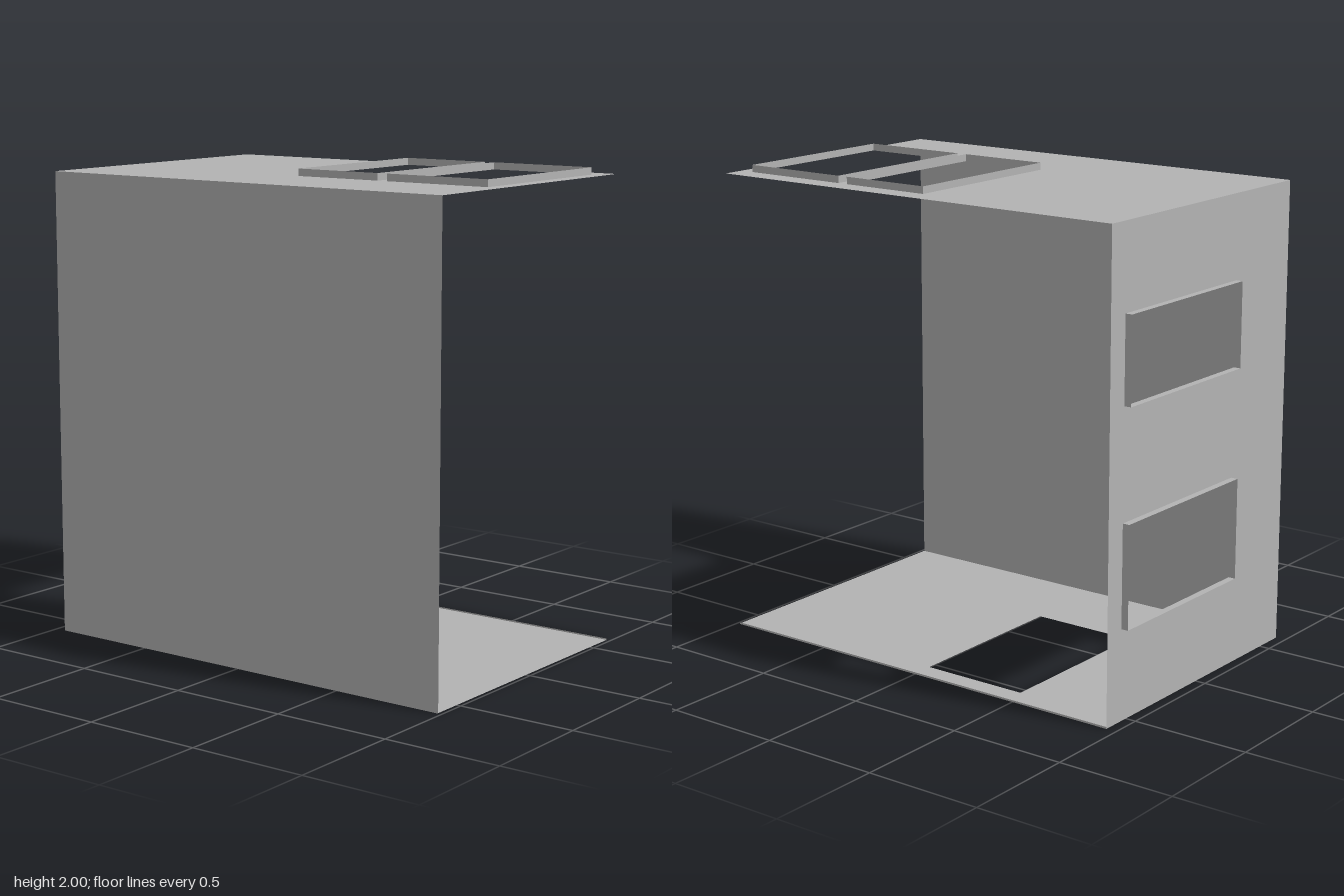
import * as THREE from 'three';

const sheetMetal = new THREE.MeshStandardMaterial({ color: 0xb3b3b3, side: THREE.DoubleSide });
sheetMetal.name = 'sheetMetal';

const LEFT = 0.985, RIGHT = -0.955, DEPTH = 0.632, HEIGHT = 1.97, FLOOR = 0.002;
const FLANGE = 0.03;

// Rectangles are [u0, v0, u1, v1] in the plane of a panel
const corners = ([u0, v0, u1, v1]) =>
  [[u0, v0], [u1, v0], [u1, v1], [u0, v1]].map(([u, v]) => new THREE.Vector2(u, v));

function add(group, name, geometry) {
  const mesh = new THREE.Mesh(geometry, sheetMetal);
  mesh.name = name;
  group.add(mesh);
  return mesh;
}

// Thin sheet with rectangular openings, each edged by an outward flange if wanted
function panel(name, outline, openings = [], flanged = false) {
  const group = new THREE.Group();
  group.name = name;
  const shape = new THREE.Shape(corners(outline));
  for (const opening of openings) shape.holes.push(new THREE.Path(corners(opening).reverse()));
  add(group, name + 'Sheet', new THREE.ShapeGeometry(shape));
  if (!flanged) return group;
  for (const opening of openings) {
    const pts = corners(opening);
    pts.forEach((a, i) => {
      const b = pts[(i + 1) % 4];
      const strip = new THREE.PlaneGeometry(a.distanceTo(b), FLANGE);
      strip.rotateX(Math.PI / 2);
      strip.rotateZ(Math.atan2(b.y - a.y, b.x - a.x));
      strip.translate((a.x + b.x) / 2, (a.y + b.y) / 2, FLANGE / 2);
      add(group, name + 'Flange', strip);
    });
  }
  return group;
}

export function createModel() {
  const model = new THREE.Group();
  model.name = 'openDuctCabinet';

  // Plain front
  const front = panel('frontPanel', [RIGHT, 0, LEFT, HEIGHT]);
  front.position.z = DEPTH;

  // Top with two flanged openings (v runs towards the back)
  const top = panel('topPanel', [RIGHT, -DEPTH, LEFT, DEPTH],
    [[0.01, -0.232, 0.405, 0.538], [0.45, -0.232, 0.922, 0.538]], true);
  top.rotation.x = -Math.PI / 2;
  top.position.y = HEIGHT;

  // Right side with two flanged openings (u runs towards the front)
  const side = panel('rightPanel', [-DEPTH, 0, DEPTH, HEIGHT],
    [[-0.538, 0.38, 0.235, 0.805], [-0.538, 1.265, 0.235, 1.62]], true);
  side.rotation.y = -Math.PI / 2;
  side.position.x = RIGHT;

  // Floor with one plain opening (v runs towards the front)
  const floor = panel('floorPanel', [RIGHT, -DEPTH, LEFT, DEPTH], [[-0.47, -0.538, 0, 0.232]]);
  floor.rotation.x = Math.PI / 2;
  floor.position.y = FLOOR;

  // Low lip along the back edge of the floor
  const lip = panel('floorLip', [RIGHT, 0, LEFT, 0.008]);
  lip.position.z = -DEPTH;

  model.add(front, top, side, floor, lip);
  return model;
}
